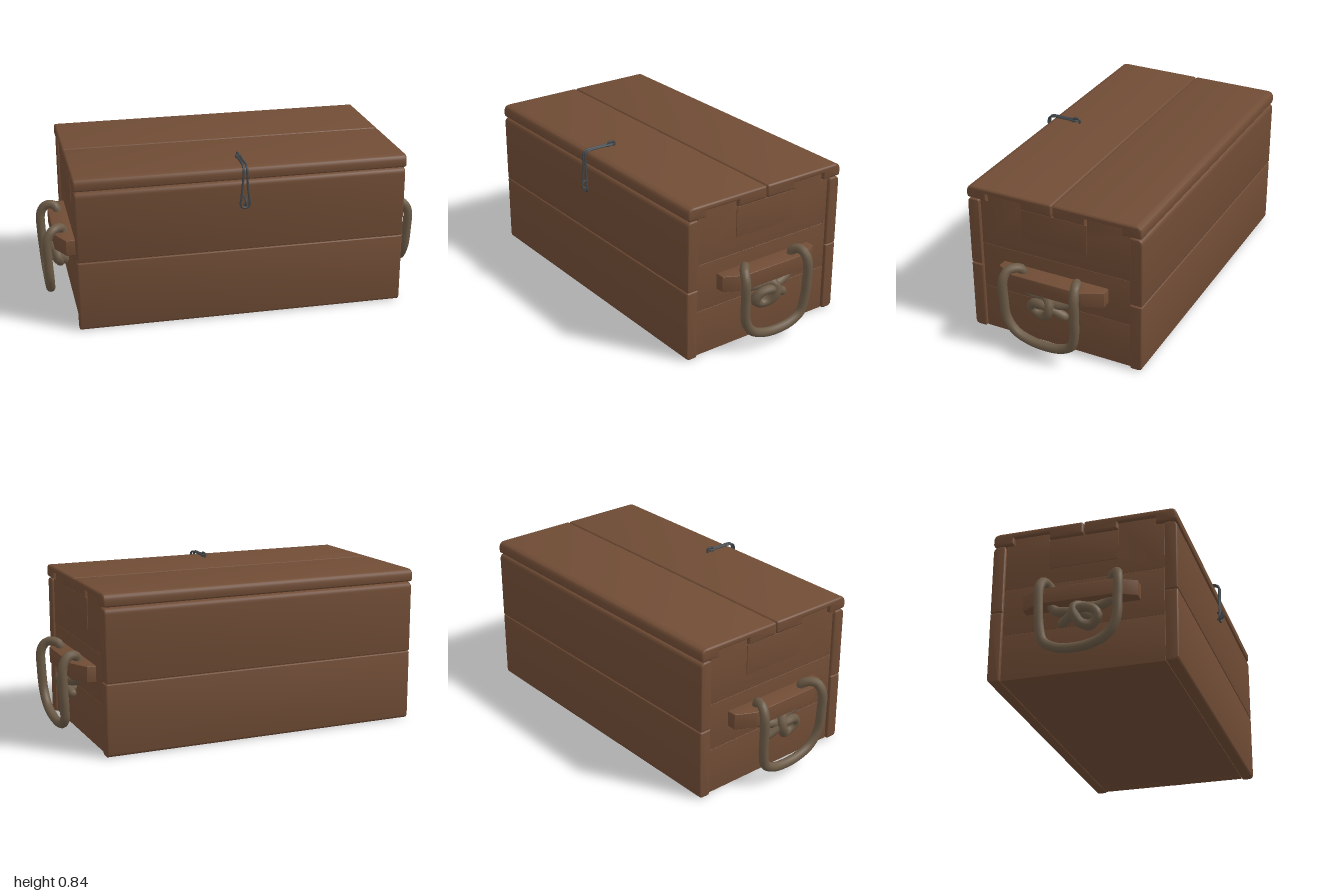
import * as THREE from 'three';
import { toCreasedNormals } from 'three/addons/utils/BufferGeometryUtils.js';

const wood = new THREE.MeshStandardMaterial({ color: 0x704c35 });
wood.name = 'brown wood';
const ropeMat = new THREE.MeshStandardMaterial({ color: 0x6b5a46 });
ropeMat.name = 'rope';
const metal = new THREE.MeshStandardMaterial({ color: 0x43484b });
metal.name = 'dark metal';

function add(parent, name, geometry, material) {
  const mesh = new THREE.Mesh(geometry, material);
  mesh.name = name;
  parent.add(mesh);
  return mesh;
}

// Closed outline from [a, b, cornerRadius] points
function outline(points) {
  const shape = new THREE.Shape();
  points.forEach(([a, b, r = 0], i) => {
    const p = new THREE.Vector2(a, b);
    const toward = (q) => new THREE.Vector2(q[0], q[1]).sub(p).setLength(r).add(p);
    const s = toward(points[(i + points.length - 1) % points.length]);
    const e = toward(points[(i + 1) % points.length]);
    if (i === 0) shape.moveTo(s.x, s.y);
    else shape.lineTo(s.x, s.y);
    if (r > 0) shape.quadraticCurveTo(p.x, p.y, e.x, e.y);
  });
  shape.closePath();
  return shape;
}

function bevelled(points, depth, bevel) {
  return new THREE.ExtrudeGeometry(outline(points), {
    depth: depth - 2 * bevel, bevelEnabled: true, bevelThickness: bevel,
    bevelSize: bevel, bevelOffset: -bevel, bevelSegments: 3, curveSegments: 6,
  }).translate(0, 0, bevel);
}

// Plank with a (z, y) profile, running along x from x0 to x1
function plank(parent, name, points, x0, x1, bevel) {
  const g = bevelled(points, x1 - x0, bevel).rotateY(-Math.PI / 2).translate(x1, 0, 0);
  return add(parent, name, toCreasedNormals(g, 0.6), wood);
}

function tube(parent, name, points, radius, material, closed = false, segments = 60, sides = 8) {
  const curve = new THREE.CatmullRomCurve3(points.map((p) => new THREE.Vector3(...p)), closed);
  return add(parent, name, new THREE.TubeGeometry(curve, segments, radius, sides, closed), material);
}

export function createModel() {
  const model = new THREE.Group();
  model.name = 'woodenChest';

  // Front and back walls, two planks each
  for (const [side, zOut, zIn] of [['front', 0.455, 0.39], ['back', -0.495, -0.43]]) {
    plank(model, side + 'LowerPlank',
      [[zOut, 0.004, 0.025], [zOut, 0.374, 0.008], [zIn, 0.374], [zIn, 0.004, 0.015]], -0.85, 0.85, 0.008);
    plank(model, side + 'UpperPlank',
      [[zOut, 0.376, 0.008], [zOut, 0.745, 0.03], [zIn, 0.745, 0.015], [zIn, 0.376]], -0.85, 0.85, 0.008);
  }

  // Floor
  const floor = add(model, 'floor', new THREE.BoxGeometry(1.66, 0.03, 0.82), wood);
  floor.position.set(0, 0.025, -0.02);

  // Lid boards, notched underneath for the end wall tabs
  plank(model, 'lidFrontBoard', [[0.455, 0.75, 0.015], [0.455, 0.816, 0.035], [-0.018, 0.816, 0.012],
    [-0.018, 0.75, 0.012], [0.155, 0.75], [0.155, 0.785], [0.348, 0.785], [0.348, 0.75]], -0.855, 0.855, 0.01);
  plank(model, 'lidBackBoard', [[-0.495, 0.75, 0.015], [-0.495, 0.816, 0.035], [-0.022, 0.816, 0.012],
    [-0.022, 0.75, 0.012], [-0.198, 0.75], [-0.198, 0.785], [-0.388, 0.785], [-0.388, 0.75]], -0.855, 0.855, 0.01);

  for (const s of [1, -1]) {
    const end = new THREE.Group();
    end.name = s > 0 ? 'leftEnd' : 'rightEnd';
    model.add(end);
    const board = (name, points, inner, outer, bevel) =>
      plank(end, name, points, Math.min(s * inner, s * outer), Math.max(s * inner, s * outer), bevel);
    const rect = (z0, z1, y0, y1) => [[z0, y0], [z0, y1], [z1, y1], [z1, y0]];

    // End wall, three planks, the top one with two tabs
    board('endLowerPlank', rect(0.388, -0.428, 0.008, 0.25), 0.78, 0.838, 0.002);
    board('endMiddlePlank', rect(0.388, -0.428, 0.25, 0.5), 0.78, 0.838, 0.002);
    board('endUpperPlank', [[0.388, 0.5], [0.388, 0.745], [0.345, 0.745], [0.345, 0.783], [0.158, 0.783],
      [0.158, 0.745], [-0.2, 0.745], [-0.2, 0.783], [-0.385, 0.783], [-0.385, 0.745],
      [-0.428, 0.745], [-0.428, 0.5]], 0.78, 0.838, 0.002);
    board('endRaisedPanel', rect(0.156, -0.198, 0.585, 0.745), 0.83, 0.842, 0.001);

    // Handle cleat with tapered ends
    const cleat = bevelled([[s * 0.83, 0.31], [s * 0.885, 0.31], [s * 0.935, 0.21],
      [s * 0.935, -0.17], [s * 0.885, -0.27], [s * 0.83, -0.27]], 0.083, 0.004);
    cleat.rotateX(-Math.PI / 2).translate(0, 0.342, 0);
    add(end, 'handleCleat', toCreasedNormals(cleat, 0.5), wood);

    // Rope: knot, through the cleat, round the hanging loop, back to the knot
    const path = [
      [0.90, 0.24, -0.10], [0.915, 0.268, -0.05], [0.93, 0.295, 0.0], [0.92, 0.285, 0.06],
      [0.91, 0.25, 0.08], [0.90, 0.218, 0.045], [0.915, 0.222, 0.0], [0.935, 0.265, -0.03],
      [0.925, 0.312, -0.03], [0.895, 0.318, 0.01], [0.885, 0.318, 0.08], [0.885, 0.345, 0.135],
      [0.885, 0.40, 0.14], [0.887, 0.438, 0.135], [0.91, 0.455, 0.155], [0.945, 0.45, 0.185],
      [0.972, 0.41, 0.197], [0.974, 0.30, 0.197], [0.968, 0.19, 0.187], [0.963, 0.12, 0.14],
      [0.96, 0.085, 0.06], [0.959, 0.076, -0.03], [0.96, 0.088, -0.11], [0.963, 0.125, -0.17],
      [0.968, 0.20, -0.19], [0.974, 0.30, -0.195], [0.972, 0.41, -0.195], [0.945, 0.452, -0.188],
      [0.91, 0.457, -0.178], [0.887, 0.438, -0.165], [0.885, 0.36, -0.165], [0.885, 0.318, -0.14],
      [0.90, 0.297, -0.07], [0.90, 0.28, 0.0], [0.888, 0.25, 0.06], [0.875, 0.222, 0.03], [0.875, 0.25, -0.03],
    ].map(([x, y, z]) => [s * x, y, z]);
    tube(end, 'ropeHandle', path, 0.024, ropeMat, false, 150, 10);
    for (const p of [path[0], path[path.length - 1]]) {
      const cap = add(end, 'ropeEnd', new THREE.SphereGeometry(0.0235, 10, 6), ropeMat);
      cap.position.set(...p);
      cap.scale.setScalar(0.98);
    }
  }

  // Wire hasp: narrow loop over the lid edge, wider at the bottom
  const half = [[0.007, 0.829, 0.30], [0.007, 0.829, 0.38], [0.009, 0.826, 0.455], [0.009, 0.81, 0.471],
    [0.012, 0.74, 0.471], [0.02, 0.66, 0.475], [0.023, 0.625, 0.473], [0.014, 0.61, 0.471]];
  const other = half.map(([x, y, z]) => [-x, y, z]).reverse();
  const hasp = new THREE.Group();
  hasp.name = 'hasp';
  model.add(hasp);
  tube(hasp, 'haspWire', [...half, ...other], 0.006, metal, true, 90, 6);

  // Staples holding the wire on the lid and the front wall
  tube(hasp, 'lidStaple', [[0, 0.81, 0.325], [0, 0.838, 0.322], [0, 0.841, 0.305], [0, 0.838, 0.29],
    [0, 0.81, 0.288]], 0.006, metal, false, 24, 6);
  tube(hasp, 'lidStapleBar', [[-0.015, 0.826, 0.305], [0.015, 0.826, 0.305]], 0.006, metal, false, 2, 6);
  tube(hasp, 'frontStaple', [[0, 0.66, 0.445], [0, 0.66, 0.478], [0, 0.645, 0.49], [0, 0.63, 0.488],
    [0, 0.622, 0.47], [0, 0.622, 0.445]], 0.006, metal, false, 24, 6);
  return model;
}
